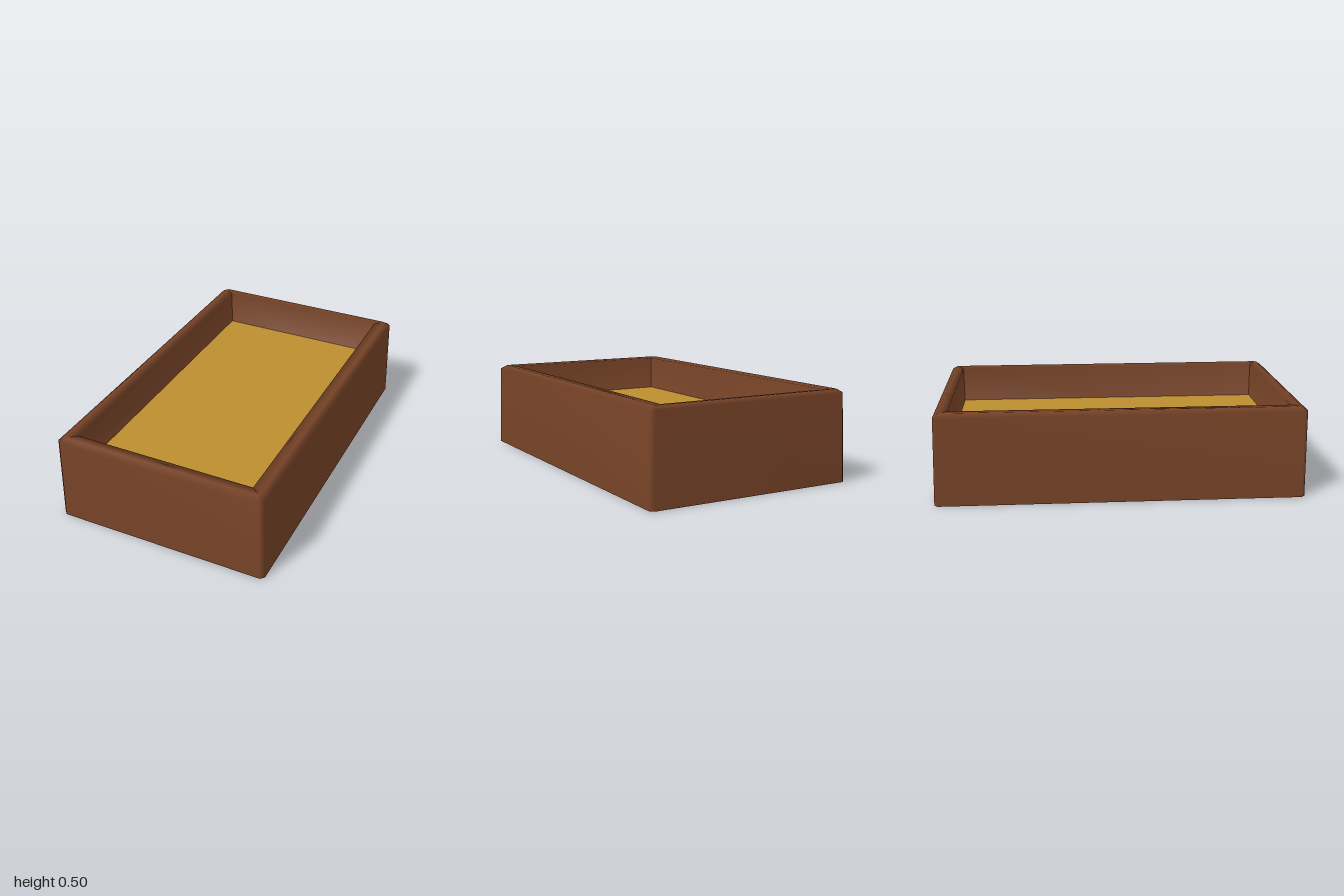
import * as THREE from 'three';

// Rectangular ring with clipped corners, counterclockwise seen from above
function ring(hx, back, front, y, c) {
  return [
    [hx, y, front - c], [hx, y, back + c], [hx - c, y, back], [-hx + c, y, back],
    [-hx, y, back + c], [-hx, y, front - c], [-hx + c, y, front], [hx - c, y, front],
  ];
}

// Joins successive rings with shared vertices for soft shading, then closes the last one
function loft(rings, centre) {
  const n = rings[0].length;
  const index = [];
  for (let r = 0; r < rings.length - 1; r++) {
    for (let i = 0; i < n; i++) {
      const j = (i + 1) % n;
      const a = r * n + i, b = r * n + j;
      index.push(a, b, a + n, b, b + n, a + n);
    }
  }
  const last = (rings.length - 1) * n;
  for (let i = 0; i < n; i++) index.push(last + i, last + (i + 1) % n, last + n);
  const geometry = new THREE.BufferGeometry();
  const points = [...rings.flat(2), ...centre];
  geometry.setAttribute('position', new THREE.Float32BufferAttribute(points, 3));
  geometry.setIndex(index);
  geometry.computeVertexNormals();
  return geometry;
}

export function createModel() {
  const group = new THREE.Group();
  const brown = new THREE.MeshStandardMaterial({ color: 0x774327, side: THREE.DoubleSide });
  brown.name = 'brown wood';
  const gold = new THREE.MeshStandardMaterial({ color: 0xbc8e2e });
  gold.name = 'golden fill';

  // Tapered outer wall, bevelled rim, inner wall and floor; hollow between the walls
  const box = new THREE.Mesh(loft([
    ring(0.6, -1, 1, 0, 0.02),
    ring(0.588, -0.987, 0.995, 0.48, 0.02),
    ring(0.555, -0.96, 0.965, 0.5, 0.01),
    ring(0.5, -0.915, 0.915, 0.495, 0),
    ring(0.5, -0.915, 0.915, 0, 0),
  ], [0, 0, 0]), brown);
  box.name = 'box';
  group.add(box);

  // Flat surface of the contents
  const fill = new THREE.Mesh(new THREE.BoxGeometry(1, 0.008, 1.83), gold);
  fill.position.y = 0.286;
  fill.name = 'fill';
  group.add(fill);

  return group;
}
